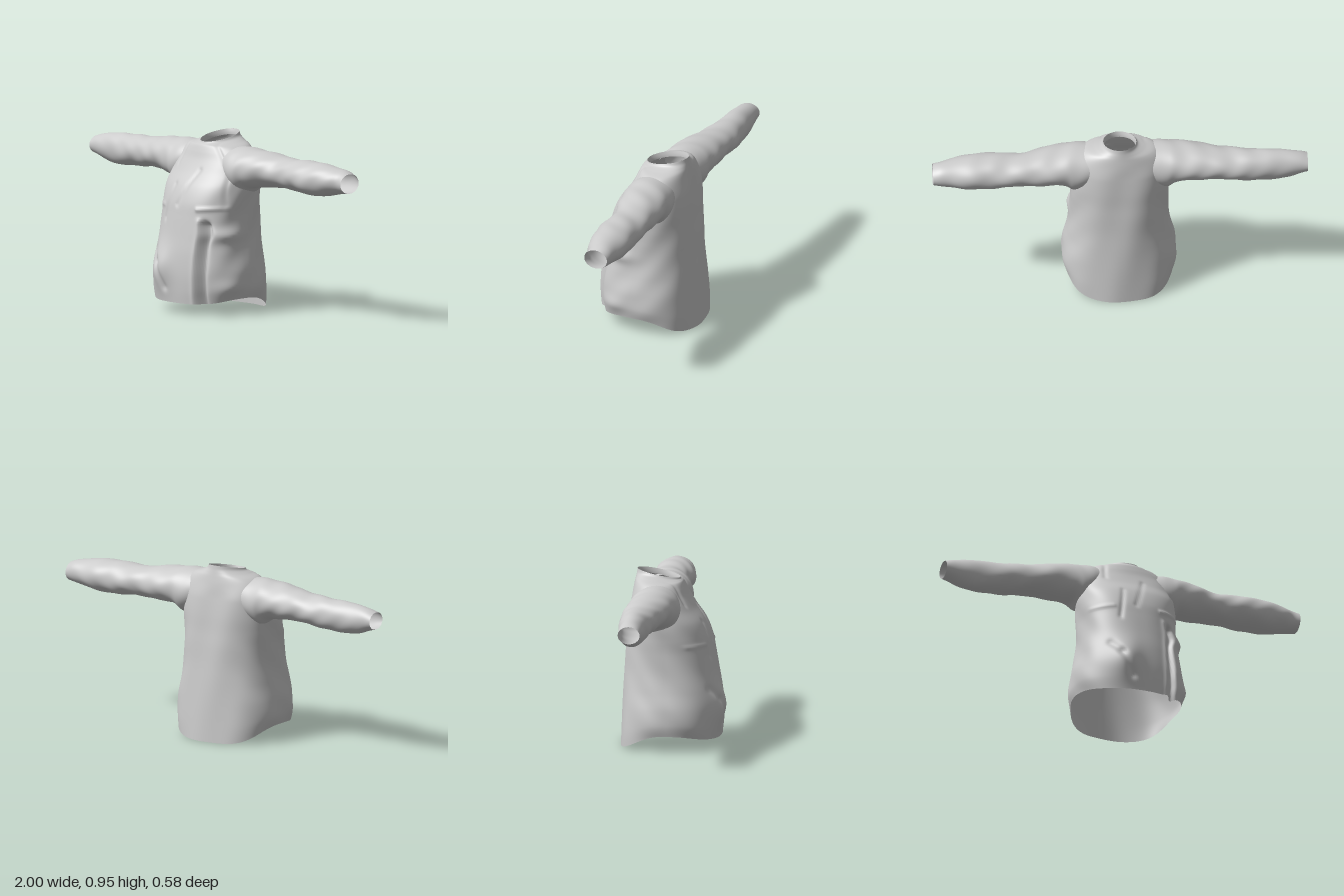
import * as THREE from 'three';

const material = new THREE.MeshStandardMaterial({ color: 0xcccccc, side: THREE.DoubleSide });

// Smoothly interpolate a table of section rows (t from 0 to 1)
function sampleRows(rows, t) {
  const f = t * (rows.length - 1), i = Math.min(Math.floor(f), rows.length - 2), u = f - i;
  const at = k => rows[Math.max(0, Math.min(rows.length - 1, k))];
  return rows[0].map((_, c) => {
    const [a, b, d, e] = [at(i - 1)[c], at(i)[c], at(i + 1)[c], at(i + 2)[c]];
    return b + 0.5 * u * (d - a + u * (2 * a - 5 * b + 4 * d - e + u * (3 * (b - d) + e - a)));
  });
}

// Closed rings joined into a smooth open tube; point(t, angle) gives [x, y, z],
// and quads that start at a point where cut(x, y, z) holds are left out
function loft(name, point, rings, sides, cut = () => false) {
  const pos = [], index = [];
  for (let i = 0; i <= rings; i++)
    for (let j = 0; j < sides; j++) pos.push(...point(i / rings, (j / sides) * Math.PI * 2));
  for (let i = 0; i < rings; i++)
    for (let j = 0; j < sides; j++) {
      const k = (j + 1) % sides;
      const a = i * sides + j, b = i * sides + k, c = a + sides, d = b + sides;
      if (!cut(...pos.slice(a * 3, a * 3 + 3))) index.push(a, b, c, b, d, c);
    }
  const g = new THREE.BufferGeometry();
  g.setAttribute('position', new THREE.Float32BufferAttribute(pos, 3));
  g.setIndex(index);
  g.computeVertexNormals();
  const mesh = new THREE.Mesh(g, material);
  mesh.name = name;
  return mesh;
}

const bump = (d, w) => Math.exp(-(d * d) / (w * w));
const power = (v, p) => Math.sign(v) * Math.abs(v) ** p;

// Torso rows: height, half width, front z, back z, collar tilt
const torsoRows = [
  [0.06, 0.292, 0.252, -0.288, 0],
  [0.13, 0.305, 0.257, -0.283, 0],
  [0.22, 0.3, 0.258, -0.277, 0],
  [0.32, 0.28, 0.25, -0.27, 0],
  [0.42, 0.265, 0.234, -0.263, 0],
  [0.52, 0.261, 0.217, -0.257, 0],
  [0.6, 0.265, 0.2, -0.25, 0],
  [0.68, 0.268, 0.166, -0.244, 0],
  [0.75, 0.262, 0.115, -0.236, 0],
  [0.81, 0.252, 0.079, -0.227, 0],
  [0.855, 0.23, 0.06, -0.219, 0],
  [0.886, 0.19, 0.047, -0.212, 0.003],
  [0.902, 0.135, 0.039, -0.207, 0.01],
  [0.914, 0.1, 0.033, -0.203, 0.017],
  [0.928, 0.088, 0.03, -0.2, 0.023],
];

// Folds on the front: x1, y1, x2, y2, width, depth (negative raises a ridge)
const folds = [
  [0.18, 0.04, 0.17, 0.48, 0.02, 0.045],
  [0.14, 0.04, 0.14, 0.5, 0.016, -0.01],
  [0.09, 0.9, 0.22, 0.76, 0.01, 0.006],
  [0.22, 0.76, 0.24, 0.58, 0.01, 0.006],
  [0.12, 0.565, 0.24, 0.575, 0.01, -0.01],
  [-0.24, 0.565, -0.14, 0.57, 0.01, -0.006],
  [-0.17, 0.33, -0.12, 0.27, 0.02, 0.01],
  [-0.12, 0.27, -0.06, 0.14, 0.02, 0.012],
  [-0.13, 0.9, -0.15, 0.78, 0.012, 0.006],
  [0.05, 0.76, -0.02, 0.58, 0.012, 0.007],
  [-0.08, 0.68, -0.11, 0.5, 0.012, 0.008],
];

function foldDepth(x, y) {
  let sum = 0;
  for (const [x1, y1, x2, y2, w, depth] of folds) {
    const dx = x2 - x1, dy = y2 - y1;
    const t = THREE.MathUtils.clamp(((x - x1) * dx + (y - y1) * dy) / (dx * dx + dy * dy), 0, 1);
    sum += depth * bump(Math.hypot(x - x1 - t * dx, y - y1 - t * dy), w);
  }
  return sum;
}

function torsoPoint(t, a) {
  let [y, w, zf, zb, tilt] = sampleRows(torsoRows, t);
  const s = Math.sin(a), c = Math.cos(a);
  const body = THREE.MathUtils.smoothstep(0.87 - y, 0, 0.1);
  const p = 1 - 0.14 * body;
  let x = w * power(s, p);
  let z = (zf + zb) / 2 + ((zf - zb) / 2) * power(c, p);
  // Folds and the belly on the front, soft drape on the back
  if (c > 0) {
    const front = Math.min(1, c * 2.5);
    z -= foldDepth(x, y) * front;
    z += front * 0.038 * bump(x + 0.1, 0.08) * bump(y - 0.24, 0.11);
  } else {
    z += 0.003 * c * body * Math.sin(x * 26 + y * 7);
  }
  // Side bulges of the loose panel
  x += Math.max(0, s) * (0.028 * bump(y - 0.43, 0.035) + 0.01 * bump(y - 0.14, 0.04)) * bump(c - 0.5, 0.35);
  x += 0.002 * s * body * Math.sin(y * 30 + c * 9);
  // Hem dips at the back and lifts at the sides
  const hem = Math.max(0, 1 - (y - 0.06) / 0.3) ** 2;
  y += hem * (0.03 * s ** 4 - (c < 0 ? 0.057 * (1 - s ** 4) : 0)) - tilt * c;
  return [x, y, z];
}

// Armholes where the sleeves open into the body
const armhole = (x, y, z) => Math.abs(x) > 0.17 && Math.hypot((y - 0.775) / 0.085, (z + 0.075) / 0.105) < 1;

// Sleeve rows: x, top y, bottom y, front z, back z
const leftRows = [
  [0.15, 0.885, 0.69, 0.045, -0.195],
  [0.2, 0.889, 0.66, 0.063, -0.205],
  [0.25, 0.89, 0.645, 0.066, -0.209],
  [0.3, 0.886, 0.675, 0.056, -0.208],
  [0.4, 0.875, 0.69, 0.032, -0.21],
  [0.5, 0.862, 0.694, 0.004, -0.208],
  [0.6, 0.858, 0.694, 0.004, -0.206],
  [0.7, 0.862, 0.683, 0.016, -0.205],
  [0.8, 0.86, 0.683, 0.006, -0.205],
  [0.9, 0.845, 0.702, -0.018, -0.19],
  [0.96, 0.836, 0.712, -0.042, -0.182],
  [1, 0.822, 0.717, -0.04, -0.172],
];
const rightRows = [
  [0.15, 0.885, 0.69, 0.04, -0.195],
  [0.2, 0.889, 0.66, 0.055, -0.204],
  [0.25, 0.89, 0.645, 0.055, -0.208],
  [0.3, 0.888, 0.675, 0.046, -0.208],
  [0.4, 0.877, 0.694, 0.028, -0.212],
  [0.5, 0.866, 0.698, 0.004, -0.212],
  [0.6, 0.855, 0.693, -0.014, -0.212],
  [0.7, 0.852, 0.684, -0.032, -0.206],
  [0.8, 0.85, 0.678, -0.042, -0.196],
  [0.9, 0.838, 0.69, -0.05, -0.184],
  [0.96, 0.828, 0.71, -0.054, -0.178],
  [1, 0.815, 0.722, -0.056, -0.174],
];

function sleeve(name, rows, side) {
  return loft(name, (t, a) => {
    const [x, top, bottom, zf, zb] = sampleRows(rows, t);
    // Irregular diagonal wrinkles that fade out at both ends
    const up = -side * Math.sin(a), out = Math.cos(a);
    const folds = Math.sin(x * 27 + 3 * up + 2 * out) + 0.7 * Math.sin(x * 47 - 4 * up + 3 * out);
    const wrinkle = 1 + 0.022 * Math.sin(Math.PI * t) * folds;
    const y = (top + bottom) / 2 + ((top - bottom) / 2) * up * wrinkle;
    const z = (zf + zb) / 2 + ((zf - zb) / 2) * out * wrinkle;
    return [side * x, y, z];
  }, 90, 56);
}

export function createModel() {
  const jacket = new THREE.Group();
  jacket.name = 'jacket';
  jacket.add(loft('body', torsoPoint, 120, 220, armhole));
  jacket.add(sleeve('leftSleeve', leftRows, 1), sleeve('rightSleeve', rightRows, -1));

  // Collar lining folded just inside the neck opening
  jacket.add(loft('collarLining', (t, a) => {
    const [x, y, z] = torsoPoint(1, a);
    const k = 1 - 0.06 * Math.sin(t * Math.PI / 2);
    return [x * k, y - 0.03 * t, -0.085 + (z + 0.085) * k];
  }, 5, 64));
  return jacket;
}
